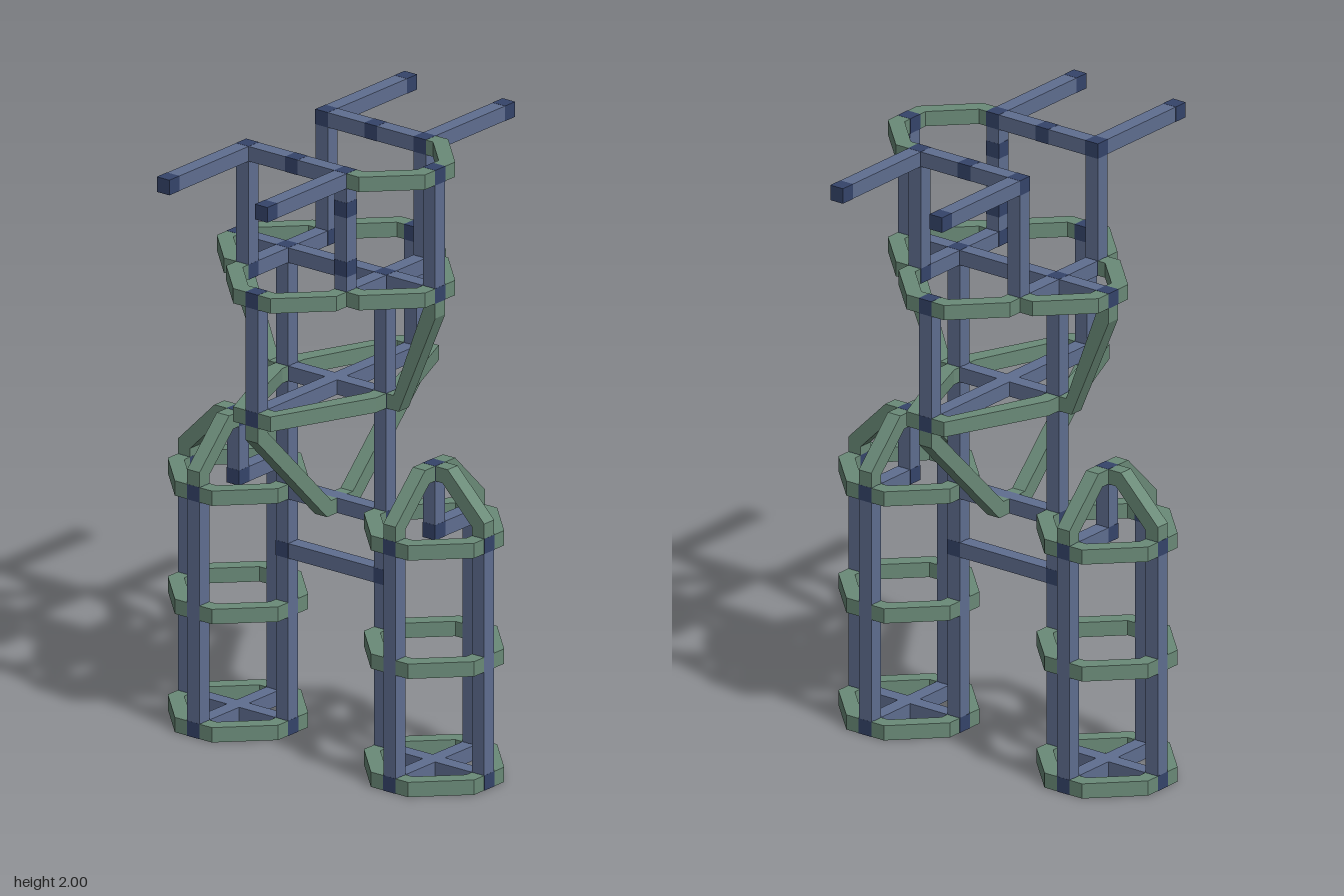
import * as THREE from 'three';

const U = 0.1951;   // lattice spacing
const H = 0.0245;   // half thickness of a beam

export function createModel() {
  const root = new THREE.Group();
  const blue = new THREE.MeshStandardMaterial({ color: 0x5f6e90, flatShading: true });
  const green = new THREE.MeshStandardMaterial({ color: 0x6a8a78, flatShading: true });
  const dark = new THREE.MeshStandardMaterial({ color: 0x35446a, flatShading: true });

  // Lattice coordinates to model position
  const at = ([x, y, z]) => new THREE.Vector3(x * U, H + y * U, z * U);

  const add = (parent, name, geometry, material, p) => {
    const mesh = new THREE.Mesh(geometry, material);
    mesh.name = name;
    if (p) mesh.position.copy(p);
    parent.add(mesh);
    return mesh;
  };

  // Dark cube where beams meet, a hair larger than the beam
  const jointSize = 2 * H + 0.001;
  const jointGeo = new THREE.BoxGeometry(jointSize, jointSize, jointSize);
  const placed = new Set();
  const joint = (parent, p) => {
    const key = p.join();
    if (placed.has(key)) return;
    placed.add(key);
    add(parent, 'joint', jointGeo, dark, at(p));
  };

  // Square beam along one axis between two lattice nodes
  const beam = (parent, name, a, b) => {
    const A = at(a), B = at(b), d = B.clone().sub(A);
    const geo = new THREE.BoxGeometry(...d.toArray().map((v) => Math.abs(v) + 2 * H));
    add(parent, name, geo, blue, A.add(B).multiplyScalar(0.5));
    joint(parent, a);
    joint(parent, b);
  };

  // Angled brace: leaves a along the given axis, arrives at b along the other one
  const brace = (parent, name, a, b, axis) => {
    const A = at(a), d = at(b).sub(A);
    const e1 = new THREE.Vector3(), e2 = new THREE.Vector3();
    e1[axis] = Math.sign(d[axis]);
    const L = Math.abs(d[axis]);
    d[axis] = 0;
    const W = d.length();
    e2.copy(d).normalize();
    const out = 0.074, inn = 0.053;
    const shape = new THREE.Shape([
      [H, -H], [out, -H], [L + H, W - out], [L + H, W - H],
      [L - H, W - H], [L - H, W - inn], [inn, H], [H, H],
    ].map(([u, v]) => new THREE.Vector2(u, v)));
    const geo = new THREE.ExtrudeGeometry(shape, { depth: 2 * H, bevelEnabled: false });
    geo.translate(0, 0, -H);
    const e3 = new THREE.Vector3().crossVectors(e1, e2);
    geo.applyMatrix4(new THREE.Matrix4().makeBasis(e1, e2, e3).setPosition(A));
    add(parent, name, geo, green);
  };

  const group = (name) => {
    const g = new THREE.Group();
    g.name = name;
    root.add(g);
    return g;
  };
  const signs = [-1, 1];

  // Legs: four posts, three rings, a foot cross and an open dome
  for (const s of signs) {
    const leg = group(s > 0 ? 'leftLeg' : 'rightLeg');
    const c = 2 * s;
    beam(leg, 'outerPost', [3 * s, 0, 0], [3 * s, 4, 0]);
    beam(leg, 'footCrossX', [c - 1, 0, 0], [c + 1, 0, 0]);
    beam(leg, 'footCrossZ', [c, 0, -1], [c, 0, 1]);
    for (const z of signs) {
      beam(leg, 'legPost', [c, 0, z], [c, 4, z]);
      for (const y of [0, 2, 4])
        for (const x of signs) brace(leg, 'legRing', [c, y, z], [c + x, y, 0], 'x');
      brace(leg, 'domeRib', [c, 5, 0], [c, 4, z], 'z');
    }
    brace(leg, 'domeRib', [c, 5, 0], [3 * s, 4, 0], 'x');
    beam(leg, 'domePost', [c, 4, 0], [c, 5, 0]);
    beam(leg, 'domeStay', [c, 4, 0], [c, 4, -1]);
  }

  // Hips
  const hips = group('hips');
  for (const y of [3, 4]) beam(hips, 'hipBeam', [-1, y, 0], [1, y, 0]);

  // Torso: main columns, waist ring, shoulder ring and braces
  const torso = group('torso');
  beam(torso, 'waistBeamX', [-1, 6, 0], [1, 6, 0]);
  beam(torso, 'waistBeamZ', [0, 6, -2], [0, 6, 2]);
  beam(torso, 'shoulderBeam', [-2, 8, 0], [2, 8, 0]);
  for (const s of signs) {
    beam(torso, 'mainColumn', [s, 0, 0], [s, 8, 0]);
    beam(torso, 'chestPost', [0, 6, 2 * s], [0, 8, 2 * s]);
    beam(torso, 'shoulderRail', [s, 8, -1], [s, 8, 1]);
    brace(torso, 'sideBrace', [s, 6, 0], [2 * s, 8, 0], 'x');
    brace(torso, 'bellyBrace', [0, 6, 2 * s], [0, 4, 0], 'y');
    for (const z of signs) {
      brace(torso, 'waistRing', [0, 6, 2 * z], [s, 6, 0], 'x');
      brace(torso, 'shoulderRing', [0, 8, 2 * z], [s, 8, z], 'x');
      brace(torso, 'shoulderRing', [s, 8, z], [2 * s, 8, 0], 'x');
    }
  }

  // Top frame: four posts, cross beams, projecting arms and a side loop
  const frame = group('topFrame');
  beam(frame, 'sidePost', [2, 8, 0], [2, 10, 0]);
  for (const z of signs) {
    beam(frame, 'crossBeam', [-1, 10, z], [1, 10, z]);
    joint(frame, [0, 10, z]);
    brace(frame, 'sideLoop', [1, 10, z], [2, 10, 0], 'x');
    for (const x of signs) {
      beam(frame, 'framePost', [x, 8, z], [x, 10, z]);
      beam(frame, 'arm', [x, 10, z], [x, 10, 3 * z]);
    }
  }
  for (const y of [8.5, 9.5]) joint(frame, [1, y, 1]);

  return root;
}
